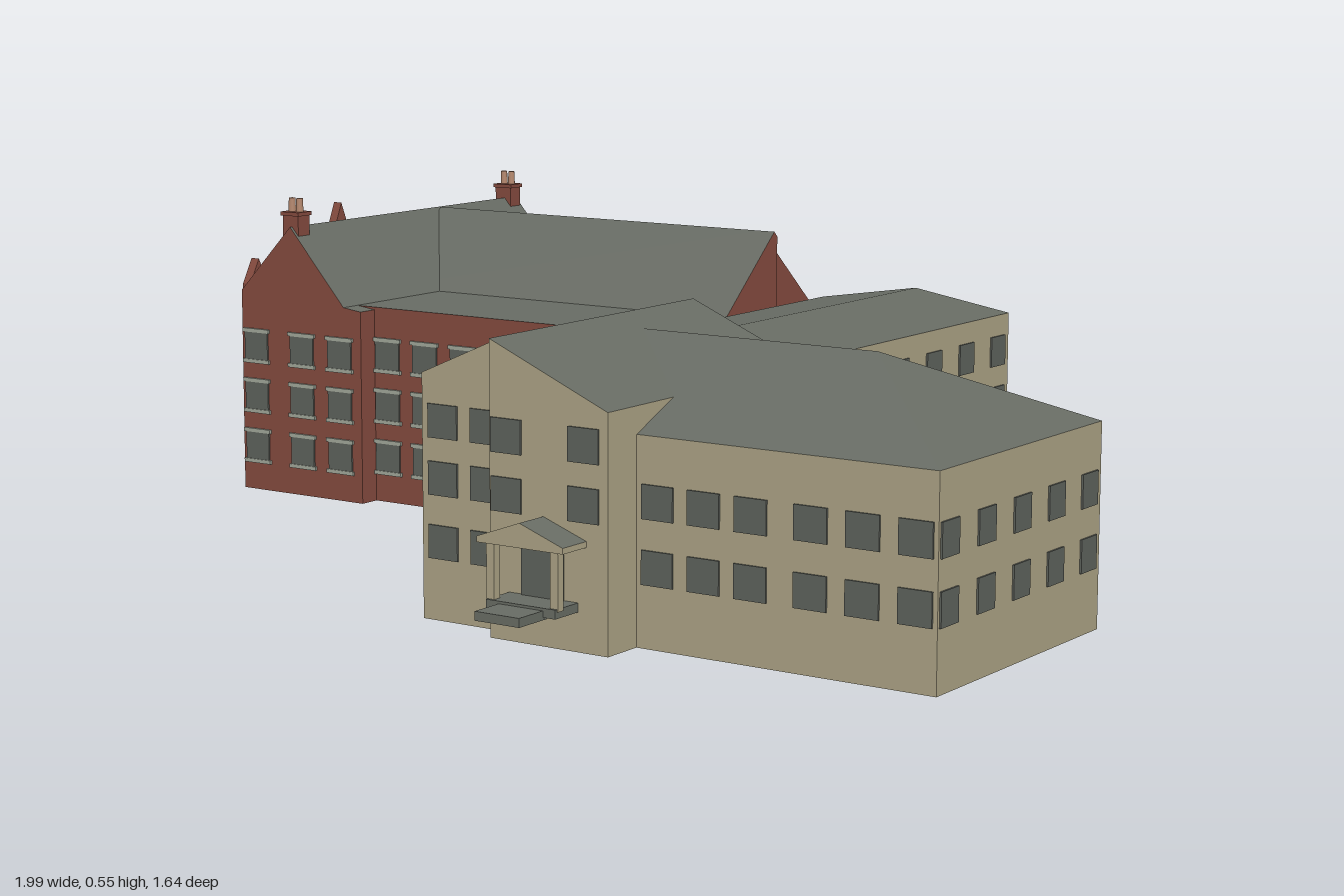
import * as THREE from 'three';
import { mergeGeometries } from 'three/addons/utils/BufferGeometryUtils.js';
import { ConvexGeometry } from 'three/addons/geometries/ConvexGeometry.js';

const material = (name, color) => {
  const m = new THREE.MeshStandardMaterial({ color });
  m.name = name;
  return m;
};

export function createModel() {
  const brick = material('red brick', 0x834a3e);
  const stone = material('buff stone', 0xaaa184);
  const slate = material('grey slate', 0x676b63);
  const glass = material('window glass', 0x5d615b);
  const trim = material('pale trim', 0x9fa598);
  const clay = material('clay pots', 0xb5886e);

  const model = new THREE.Group();
  const redHall = new THREE.Group();
  const stoneHall = new THREE.Group();
  redHall.name = 'redHall';
  stoneHall.name = 'stoneHall';
  model.add(redHall, stoneHall);

  const add = (parent, name, geometry, mat) => {
    const mesh = new THREE.Mesh(geometry, mat);
    mesh.name = name;
    parent.add(mesh);
    return mesh;
  };

  // Splits a solid into walls and upward-facing roof faces
  const roofed = (parent, name, source, wall, roof = slate) => {
    const g = source.index ? source.toNonIndexed() : source;
    g.computeVertexNormals();
    const p = g.attributes.position, n = g.attributes.normal;
    const sets = [[], []];
    for (let i = 0; i < p.count; i += 3) sets[n.getY(i) > 0.1 ? 1 : 0].push(i, i + 1, i + 2);
    g.setIndex([...sets[0], ...sets[1]]);
    g.clearGroups();
    g.addGroup(0, sets[0].length, 0);
    g.addGroup(sets[0].length, sets[1].length, 1);
    return add(parent, name, g, [wall, roof]);
  };

  const extrude = (pts, depth) => new THREE.ExtrudeGeometry(
    new THREE.Shape(pts.map(([a, b]) => new THREE.Vector2(a, b))), { depth, bevelEnabled: false });
  // Profile in (x, y) running along z
  const alongZ = (pts, z0, z1) => extrude(pts, z1 - z0).translate(0, 0, z0);
  // Profile in (z, y) running along x
  const alongX = (pts, x0, x1) =>
    extrude(pts.map(([z, y]) => [-z, y]), x1 - x0).rotateY(Math.PI / 2).translate(x0, 0, 0);
  const box = (x0, x1, y0, y1, z0, z1) => new THREE.BoxGeometry(x1 - x0, y1 - y0, z1 - z0)
    .translate((x0 + x1) / 2, (y0 + y1) / 2, (z0 + z1) / 2);

  // Rows of thin window plates on one wall, optionally with lintels and sills
  const facade = (parent, name, axis, at, centres, rows, edged, w = 0.055, h = 0.052) => {
    const panes = [], edges = [];
    const plate = (u, y, pw, ph, t) => axis === 'z'
      ? new THREE.BoxGeometry(pw, ph, t).translate(u, y, at)
      : new THREE.BoxGeometry(t, ph, pw).translate(at, y, u);
    for (const y of rows) for (const u of centres) {
      panes.push(plate(u, y, w, h, 0.006));
      if (edged) for (const s of [-1, 1])
        edges.push(plate(u, y + s * (h / 2 + 0.003), w + 0.008, 0.007, 0.0095));
    }
    add(parent, name + 'Windows', mergeGeometries(panes), glass);
    if (edged) add(parent, name + 'Trim', mergeGeometries(edges), trim);
  };
  const spread = (a, b, n) => Array.from({ length: n }, (_, i) => a + (b - a) * i / (n - 1));

  // ---- Red brick hall ----
  roofed(redHall, 'westWing', alongZ([[-0.88, 0], [-0.595, 0], [-0.595, 0.355], [-0.635, 0.36],
    [-0.76, 0.5], [-0.88, 0.375]], -0.755, -0.06), brick);
  const mainProfile = [[-0.7, 0], [-0.7, 0.33], [-0.505, 0.5], [-0.345, 0.36], [-0.1, 0.36], [-0.1, 0]];
  roofed(redHall, 'mainRange', alongX(mainProfile.slice().reverse(), -0.755, -0.015), brick);
  roofed(redHall, 'eastPavilion', alongX([[-0.31, 0], [-0.31, 0.36], [-0.345, 0.36], [-0.505, 0.5],
    [-0.515, 0.49], [-0.515, 0]], -0.02, 0.012), brick);
  roofed(redHall, 'rearBlock', box(-0.605, -0.4, 0, 0.15, -0.82, -0.69), brick);

  // Chimneys with paired pots
  for (const z of [-0.735, -0.082]) {
    add(redHall, 'chimney', box(-0.782, -0.745, 0.42, 0.52, z - 0.016, z + 0.016), brick);
    add(redHall, 'chimneyCap', box(-0.785, -0.742, 0.52, 0.527, z - 0.019, z + 0.019), brick);
    for (const dx of [-0.009, 0.009])
      add(redHall, 'chimneyPot',
        new THREE.CylinderGeometry(0.006, 0.007, 0.026, 8).translate(-0.7635 + dx, 0.539, z), clay);
  }

  // Pointed gables along the west front
  for (const [z, half, top] of [[-0.343, 0.055, 0.515], [-0.1, 0.025, 0.43], [-0.51, 0.03, 0.44], [-0.65, 0.025, 0.43]])
    add(redHall, 'westGable', alongX([[z + half, 0.36], [z + half, 0.385], [z, top], [z - half, 0.385],
      [z - half, 0.36]], -0.89, -0.872), brick);

  // Faceted bay on the west front
  roofed(redHall, 'westBay', new THREE.CylinderGeometry(1, 1, 0.28, 8).rotateY(Math.PI / 8)
    .scale(0.049, 1, 0.065).translate(-0.88, 0.14, -0.36), brick);

  // West entrance porch, landing and steps
  add(redHall, 'porchRoof', box(-0.945, -0.88, 0.128, 0.142, -0.625, -0.51), slate);
  for (const z of [-0.612, -0.523])
    add(redHall, 'porchPost', box(-0.938, -0.924, 0, 0.13, z - 0.007, z + 0.007), brick);
  add(redHall, 'porchLanding', box(-0.945, -0.88, 0, 0.024, -0.755, -0.51), slate);
  add(redHall, 'porchStep', box(-1, -0.94, 0.008, 0.02, -0.6, -0.52), slate);
  add(redHall, 'porchDoor', box(-0.884, -0.876, 0.02, 0.11, -0.595, -0.54), trim);

  // Dormers on the north eave
  for (const x of [-0.318, -0.21, -0.097]) {
    roofed(redHall, 'dormer', alongZ([[x - 0.027, 0.3], [x + 0.027, 0.3], [x + 0.027, 0.375],
      [x, 0.41], [x - 0.027, 0.375]], -0.702, -0.63), brick);
    add(redHall, 'dormerWindow', box(x - 0.016, x + 0.016, 0.325, 0.372, -0.706, -0.7), glass);
  }

  // Lattice fire stair on the north wall
  const bars = [];
  for (let i = 0; i < 6; i++) {
    const x = -0.15 + i * 0.025, y = 0.12 + i * 0.038;
    bars.push(box(x, x + 0.006, 0.12, 0.314, -0.708, -0.699), box(-0.15, -0.019, y, y + 0.006, -0.708, -0.699));
  }
  add(redHall, 'fireStair', mergeGeometries(bars), slate);

  // Red hall windows
  const redRows = [0.083, 0.178, 0.272];
  facade(redHall, 'wingSouth', 'z', -0.06, [-0.845, -0.735, -0.645], redRows, true);
  facade(redHall, 'mainSouth', 'z', -0.1, spread(-0.565, -0.045, 7), redRows, true);
  facade(redHall, 'wingNorth', 'z', -0.755, [-0.835, -0.74, -0.65], redRows, true);
  facade(redHall, 'mainNorth', 'z', -0.7, spread(-0.355, -0.06, 4), redRows, true);
  facade(redHall, 'rearUpper', 'z', -0.7, [-0.545, -0.45], redRows.slice(1), true);
  facade(redHall, 'rearBlock', 'z', -0.82, [-0.55, -0.455], [0.083], true);
  facade(redHall, 'east', 'x', -0.015, [-0.665, -0.545, -0.25, -0.155], redRows, true);
  facade(redHall, 'west', 'x', -0.88, [-0.71, -0.645, -0.48, -0.24, -0.17, -0.1], redRows, true, 0.045);
  facade(redHall, 'westUpper', 'x', -0.88, [-0.565], redRows.slice(1), true, 0.045);
  facade(redHall, 'westBay', 'x', -0.925, [-0.36], redRows.slice(0, 2), true, 0.035);

  // ---- Buff stone hall ----
  const base = 0.02;
  roofed(stoneHall, 'northWing', alongZ([[0.12, base], [0.495, base], [0.495, 0.39], [0.31, 0.42],
    [0.12, 0.39]], -0.5, 0.17), stone);
  roofed(stoneHall, 'gableWest', alongZ([[0.115, base], [0.275, base], [0.275, 0.47], [0.115, 0.4]],
    0.16, 0.66), stone);
  roofed(stoneHall, 'gableEast', alongZ([[0.275, base], [0.488, base], [0.488, 0.38], [0.275, 0.47]],
    0.16, 0.703), stone);
  roofed(stoneHall, 'westBay', alongZ([[0.085, base], [0.13, base], [0.13, 0.405], [0.085, 0.386]],
    0.29, 0.44), stone);

  // Hipped east wing
  const hip = [[0.32, 0.45, 0.372], [0.74, 0.45, 0.372]];
  for (const x of [0.32, 0.99]) for (const z of [0.137, 0.63]) hip.push([x, base, z], [x, 0.338, z]);
  roofed(stoneHall, 'eastWing', new ConvexGeometry(hip.map(p => new THREE.Vector3(...p))), stone);

  // South porch with pediment, posts, door and steps
  roofed(stoneHall, 'porchRoof', alongZ([[0.295, 0.178], [0.45, 0.178], [0.45, 0.187], [0.3725, 0.215],
    [0.295, 0.187]], 0.7, 0.762), stone);
  for (const x of [0.315, 0.43])
    add(stoneHall, 'porchPost', box(x - 0.007, x + 0.007, 0.09, 0.18, 0.742, 0.756), stone);
  add(stoneHall, 'porchLanding', box(0.31, 0.435, 0.08, 0.094, 0.7, 0.76), slate);
  add(stoneHall, 'porchStep', box(0.333, 0.413, 0.076, 0.09, 0.75, 0.818), slate);
  add(stoneHall, 'porchDoor', box(0.335, 0.41, 0.094, 0.17, 0.7, 0.707), glass);

  // Stone hall windows
  const rows = [0.142, 0.24, 0.328], low = rows.slice(0, 2);
  facade(stoneHall, 'gableWestSouth', 'z', 0.66, [0.155, 0.235], rows);
  facade(stoneHall, 'gableEastSouth', 'z', 0.703, [0.306, 0.445], rows.slice(1));
  facade(stoneHall, 'eastWingSouth', 'z', 0.63, [0.525, 0.605, 0.685, 0.785, 0.87, 0.955], low);
  facade(stoneHall, 'eastWingEast', 'x', 0.99, spread(0.175, 0.6, 5), low, false, 0.05);
  facade(stoneHall, 'eastWingNorth', 'z', 0.137, spread(0.56, 0.94, 5), low);
  facade(stoneHall, 'northWingEast', 'x', 0.495, spread(-0.46, 0.1, 6), rows, false, 0.05);
  facade(stoneHall, 'northWingNorth', 'z', -0.5, spread(0.17, 0.445, 4), rows);
  facade(stoneHall, 'northWingWest', 'x', 0.12, spread(-0.46, 0.1, 6), rows, false, 0.05);
  facade(stoneHall, 'gableWest', 'x', 0.115, [0.225, 0.505, 0.6], rows, false, 0.05);
  facade(stoneHall, 'westBay', 'x', 0.085, [0.33, 0.4], rows, false, 0.045);

  return model;
}
